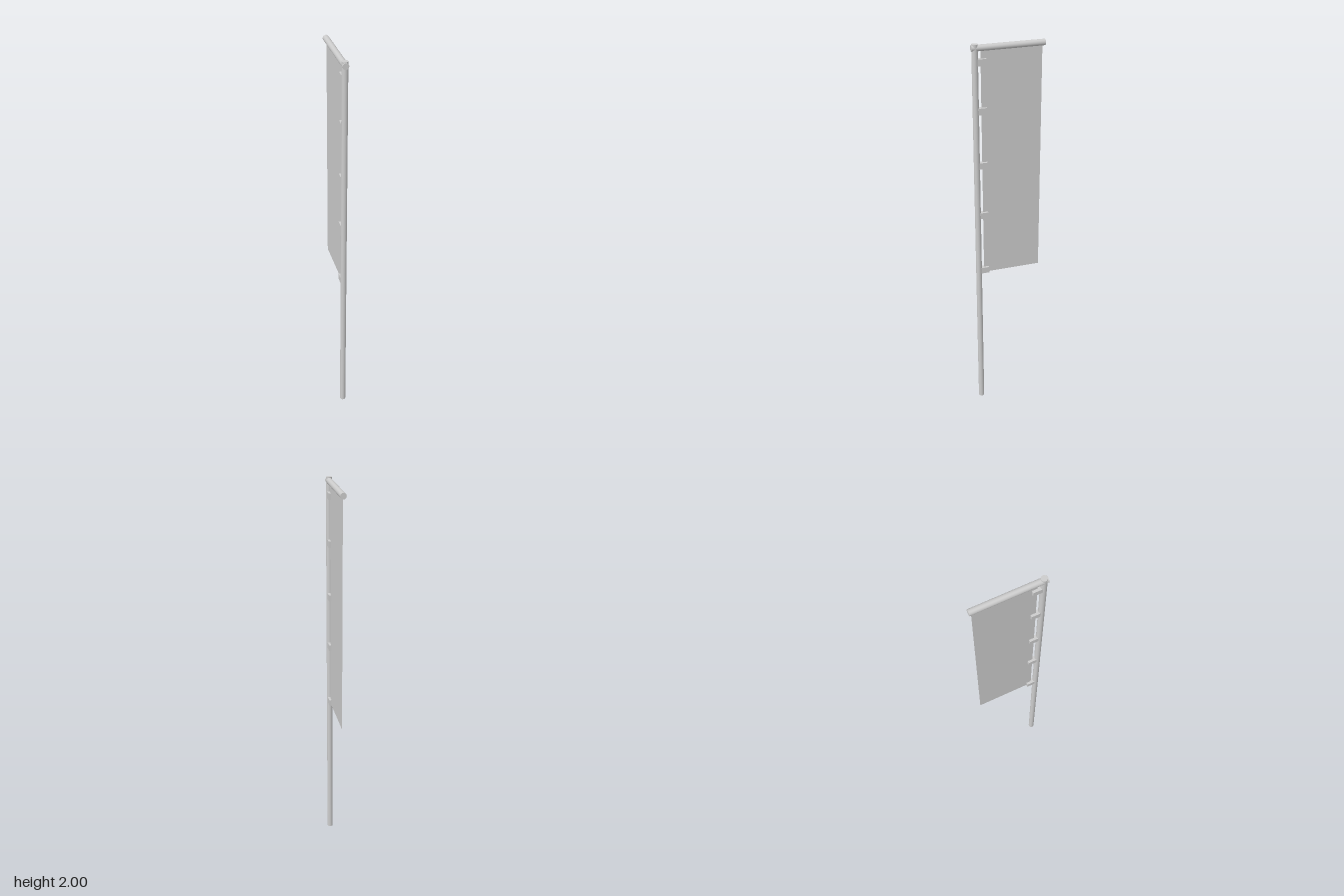
import * as THREE from 'three';

const POLE_Z = 0.157;
const RADIUS = 0.0148;

export function createModel() {
  const group = new THREE.Group();
  const material = new THREE.MeshStandardMaterial({ color: 0xcccccc });
  const clothMaterial = new THREE.MeshStandardMaterial({ color: 0xcccccc, side: THREE.DoubleSide });

  const add = (name, geometry, x, y, z, mat = material) => {
    const mesh = new THREE.Mesh(geometry, mat);
    mesh.name = name;
    mesh.position.set(x, y, z);
    group.add(mesh);
    return mesh;
  };

  // Upright pole
  add('pole', new THREE.CylinderGeometry(RADIUS, RADIUS, 2, 32), 0, 1, POLE_Z);

  // Horizontal arm across the top, running backwards from the pole
  const arm = add('arm', new THREE.CylinderGeometry(RADIUS, RADIUS, 0.351, 32), 0, 1.982, -0.0015);
  arm.rotation.x = Math.PI / 2;

  // Banner cloth hanging below the arm
  const banner = add('banner', new THREE.PlaneGeometry(0.295, 1.175), 0, 1.3925, -0.0175, clothMaterial);
  banner.rotation.y = Math.PI / 2;

  // Clips holding the banner's edge to the pole
  const clip = new THREE.BoxGeometry(0.024, 0.032, 0.044);
  for (const y of [0.82, 1.137, 1.407, 1.683, 1.916]) add('clip', clip, 0, y, 0.127);

  return group;
}
